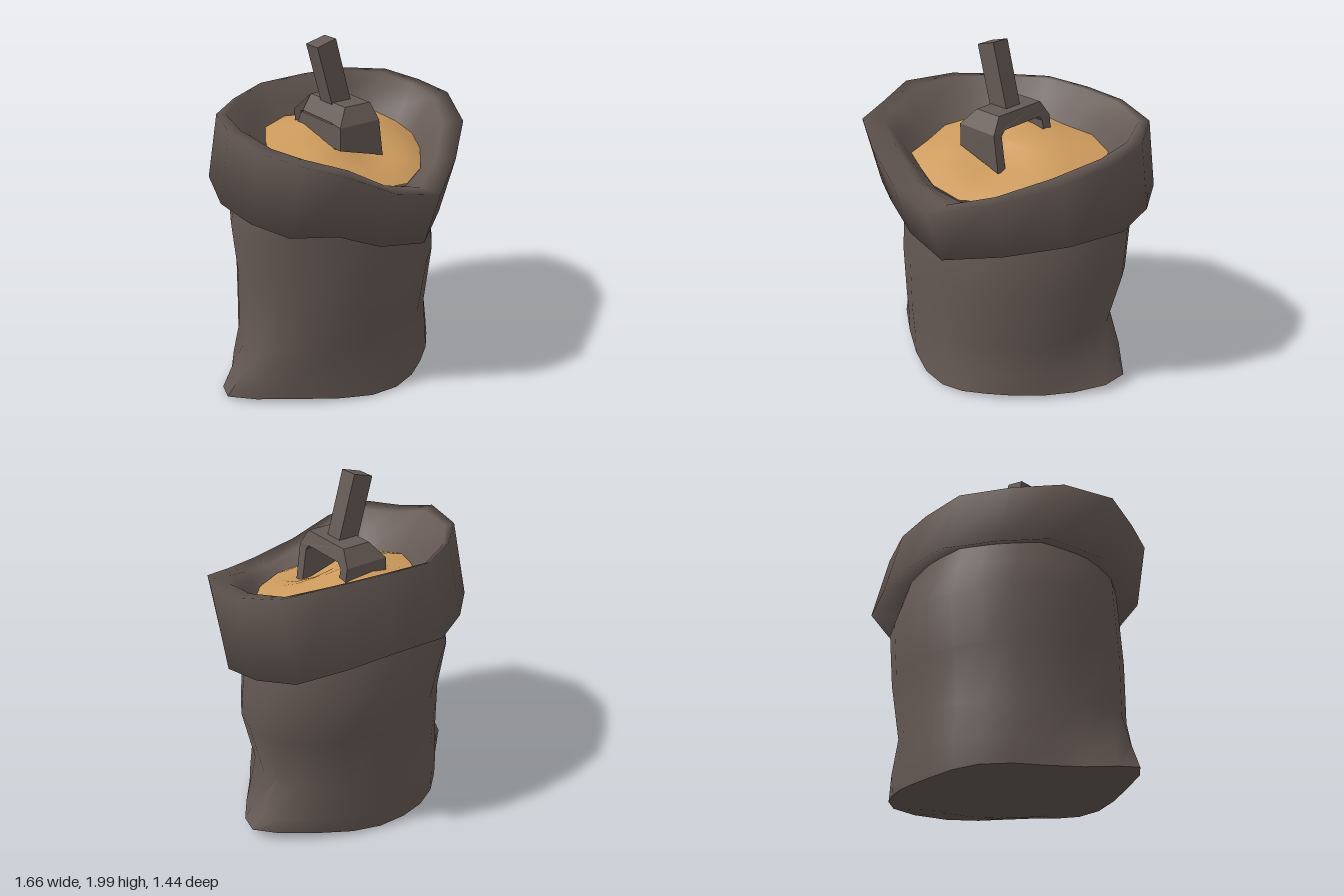
import * as THREE from 'three';
import { toCreasedNormals } from 'three/addons/utils/BufferGeometryUtils.js';

const mat = (name, color) => Object.assign(new THREE.MeshStandardMaterial({ color }), { name });

// Joins closed rows of [x, y, z] points into one skin.
function loft(rows) {
  const n = rows[0].length, index = [];
  for (let r = 0; r < rows.length - 1; r++) {
    for (let i = 0; i < n; i++) {
      const j = (i + 1) % n, a = r * n + i, b = r * n + j;
      index.push(a, b, b + n, a, b + n, a + n);
    }
  }
  const g = new THREE.BufferGeometry();
  g.setAttribute('position', new THREE.Float32BufferAttribute(rows.flat(2), 3));
  g.setIndex(index);
  g.computeVertexNormals();
  return g;
}

// Rolled cuff stations, from the back round by the right: x, z, top y, bottom y
const CUFF = [
  [0.01, -0.73, 1.63, 1.23], [-0.30, -0.66, 1.62, 1.22], [-0.57, -0.53, 1.62, 1.22], [-0.75, -0.25, 1.62, 1.18],
  [-0.77, 0.00, 1.56, 1.13], [-0.75, 0.27, 1.54, 1.11], [-0.57, 0.46, 1.46, 1.10], [-0.36, 0.60, 1.34, 1.00],
  [-0.09, 0.72, 1.27, 0.95], [0.24, 0.61, 1.35, 1.00], [0.56, 0.46, 1.46, 1.07], [0.78, 0.20, 1.54, 1.10],
  [0.83, -0.06, 1.57, 1.14], [0.79, -0.31, 1.61, 1.18], [0.57, -0.49, 1.64, 1.22], [0.31, -0.62, 1.64, 1.24],
];
// Edge of the grain at the same stations: x, z
const GRAIN = [
  [0.01, -0.43], [-0.20, -0.40], [-0.34, -0.28], [-0.47, -0.14], [-0.49, 0.03], [-0.52, 0.17], [-0.38, 0.29], [-0.24, 0.40],
  [-0.04, 0.47], [0.18, 0.42], [0.38, 0.29], [0.51, 0.15], [0.56, 0.00], [0.56, -0.18], [0.41, -0.31], [0.21, -0.36],
];
const grainEdgeY = (z) => 1.36 - 0.22 * z;

function cuffGeometry() {
  const rows = [[], [], [], [], [], []];
  CUFF.forEach(([x, z, top, bot], i) => {
    const bx = x * 0.98 + 0.015, bz = z * 0.92 - 0.05;
    const tx = x * 0.985 - 0.01, tz = z * 0.91 + 0.06;
    const [gx, gz] = GRAIN[i], gy = grainEdgeY(gz) - 0.015;
    // point between the outer top edge and the grain, and its drop
    const inside = (f, drop) => [tx + (gx - tx) * f, top + (gy - top) * drop, tz + (gz - tz) * f];
    const crest = 0.36 + 0.3 * z;
    rows[0].push([bx * 0.7, bot + 0.1, bz * 0.72]);
    rows[1].push([bx, bot, bz]);
    rows[2].push([tx, top, tz]);
    rows[3].push(inside(crest, 0.04));
    rows[4].push(inside(0.55 + crest * 0.45, 0.55));
    rows[5].push([gx * 0.98, gy, gz * 0.98]);
  });
  return loft(rows);
}

// Sack body rows: y, min x, max x, front z, back z, corner pull, tilt
const BODY = [
  [0.02, 0, 0, -0.04, -0.04, 0, 0], [0.005, -0.45, 0.45, 0.36, -0.45, 0, 0], [0.025, -0.65, 0.62, 0.53, -0.62, 0.18, 0],
  [0.16, -0.67, 0.65, 0.50, -0.62, 0.10, 0], [0.36, -0.69, 0.65, 0.48, -0.60, 0, 0], [0.70, -0.69, 0.73, 0.50, -0.60, 0, 0],
  [1.00, -0.69, 0.73, 0.46, -0.64, 0, 0], [1.12, -0.68, 0.70, 0.44, -0.58, 0, 0.12], [1.25, -0.66, 0.66, 0.40, -0.54, 0, 0.2],
];

function bodyGeometry() {
  const n = 24, curve = (v) => Math.sign(v) * Math.abs(v) ** 1.1;
  return toCreasedNormals(loft(BODY.map(([y, x0, x1, zf, zb, ear, tilt], r) => Array.from({ length: n }, (_, i) => {
    const t = (i / n) * Math.PI * 2, s = -Math.sin(t), c = -Math.cos(t);
    const fold = 1 + 0.015 * Math.sin(5 * t + y * 6);
    // bottom corners pulled out at both sides: one lifted, one swept back
    const lift = r === 2 ? 0.012 * Math.sin(4 * t) + (s > 0 ? 0.045 * s ** 8 : 0) : 0;
    const sweep = ear * s ** 6 * (s < 0 ? -0.9 : 0.3);
    const z = (zf + zb) / 2 + curve(c) * (zf - zb) / 2 * fold + sweep;
    return [(x0 + x1) / 2 + curve(s) * (x1 - x0) / 2 + ear * Math.abs(s) ** 8 * Math.sign(s), y + lift - tilt * z, z];
  }))), 0.9);
}

function grainGeometry() {
  return loft([1, 0.85, 0.68, 0.5, 0.25, 0].map((k) => GRAIN.map(([x, z]) => {
    const px = x * k + 0.02 * (1 - k), pz = z * k;
    const mound = 0.1 * (1 - k * k) + 0.04 * Math.sin(px * 9 + 1) * Math.cos(pz * 8 + 1.6) * (1 - k);
    // hollow scraped out in front of the scoop
    const hollow = 0.06 * (1 - k * k) * Math.exp(-25 * (px * px + (pz - 0.22) ** 2));
    return [px, grainEdgeY(pz) + mound - hollow, pz];
  })));
}

// Arched scoop: an upside-down U with bevelled shoulders, its open side towards +x
function archGeometry() {
  const half = [[0.225, 1.36], [0.225, 1.55], [0.165, 1.64]];
  const inner = [[-0.165, 1.36], [-0.165, 1.53], [-0.14, 1.56]];
  const mirror = (pts) => pts.map(([w, y]) => [-w, y]).reverse();
  const shape = new THREE.Shape([...half, ...mirror(half), ...inner, ...mirror(inner)].map((p) => new THREE.Vector2(...p)));
  const g = new THREE.ExtrudeGeometry(shape, { depth: 0.29, bevelEnabled: false });
  g.translate(0, 0, -0.145).rotateY(Math.PI / 2);
  const p = g.attributes.position;
  for (let i = 0; i < p.count; i++) {
    const back = p.getX(i) < 0, y = p.getY(i);
    // narrower flat top, slanting prong tips
    if (y > 1.6) p.setX(i, back ? -0.07 : 0.1);
    else if (y > 1.4) p.setX(i, back ? -0.145 : 0.12);
    else p.setXY(i, back ? -0.145 : 0.15, back ? 1.42 : 1.335);
  }
  g.computeVertexNormals();
  return g;
}

export function createModel() {
  const cloth = mat('sackcloth', 0x635752);
  const seed = mat('grain', 0xcc9a5c);
  const metal = mat('scoop grey', 0x655a55);
  cloth.side = THREE.DoubleSide;
  const model = new THREE.Group();
  const add = (parent, name, geometry, material) => {
    const m = new THREE.Mesh(geometry, material);
    m.name = name;
    parent.add(m);
    return m;
  };

  add(model, 'sackBody', bodyGeometry(), cloth);
  add(model, 'rolledCuff', cuffGeometry(), cloth);
  add(model, 'grain', grainGeometry(), seed);

  // Scoop stuck in the grain, turned about the upright axis
  const scoop = new THREE.Group();
  scoop.name = 'scoop';
  scoop.position.set(0, 0, -0.03);
  scoop.rotation.y = -0.31;
  add(scoop, 'scoopArch', archGeometry(), metal);
  add(scoop, 'scoopBack', new THREE.BoxGeometry(0.06, 0.14, 0.34), metal).position.set(-0.114, 1.48, 0);
  const handle = add(scoop, 'handle', new THREE.BoxGeometry(0.125, 0.42, 0.11), metal);
  handle.position.set(-0.055, 1.776, 0);
  handle.rotation.z = 0.27;
  model.add(scoop);
  return model;
}
